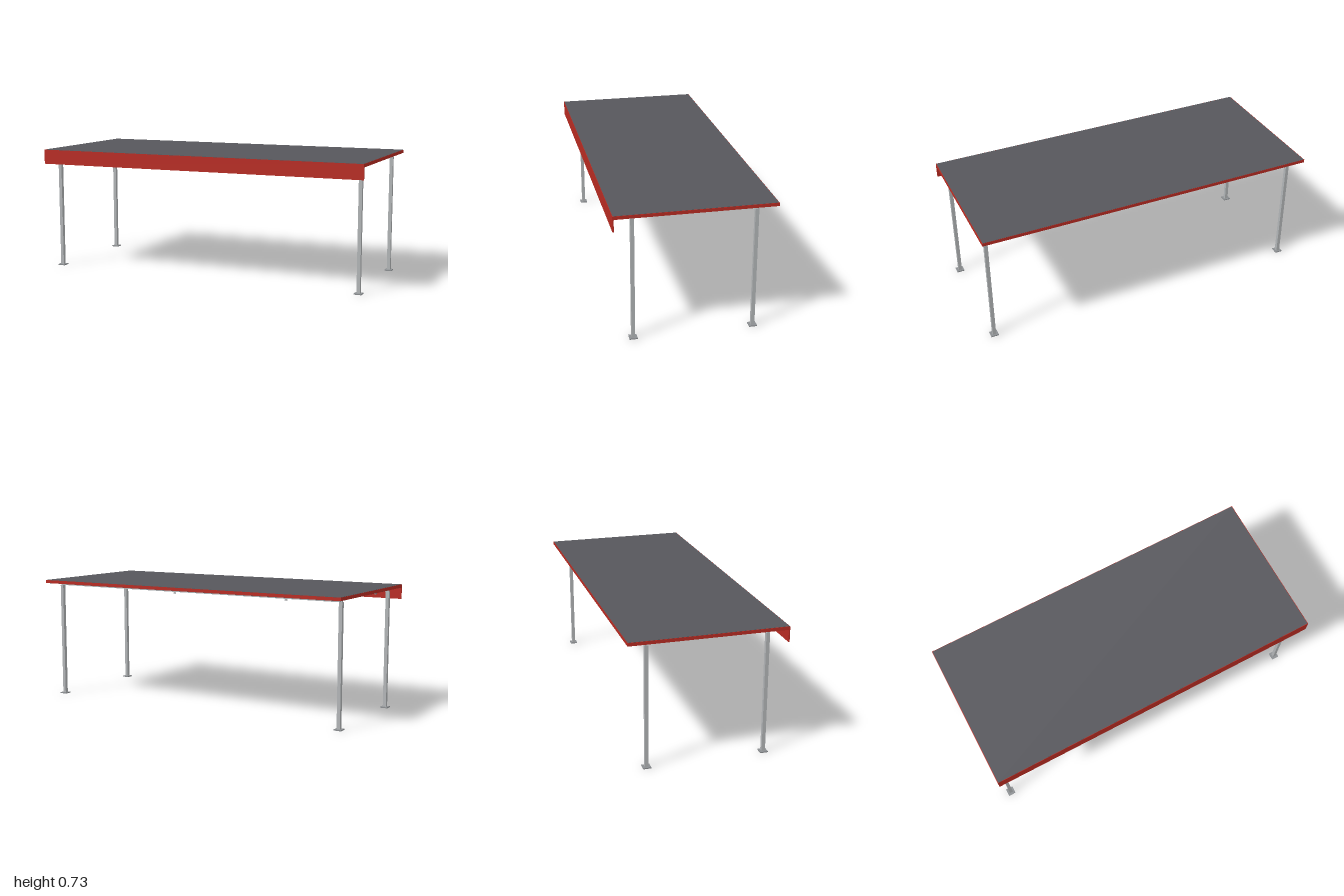
import * as THREE from 'three';

const mat = (name, color) => {
  const m = new THREE.MeshStandardMaterial({ color });
  m.name = name;
  return m;
};

export function createModel() {
  const red = mat('red trim', 0xb82b22);
  const roofGrey = mat('roof grey', 0x57575c);
  const soffitGrey = mat('soffit grey', 0x505054);
  const steel = mat('light steel', 0xb2b5b7);
  const fixtureGrey = mat('fixture grey', 0x8c8f92);
  const warm = mat('warm light', 0xffd090);

  const model = new THREE.Group();
  model.name = 'canopy';
  const add = (name, geometry, material, x, y, z) => {
    const mesh = new THREE.Mesh(geometry, material);
    mesh.name = name;
    mesh.position.set(x, y, z);
    model.add(mesh);
    return mesh;
  };
  // Box given by its centre in x and z and its bottom and top heights
  const box = (name, material, w, d, bottom, top, x, z) =>
    add(name, new THREE.BoxGeometry(w, top - bottom, d), material, x, (bottom + top) / 2, z);

  // Roof slab and front fascia as one profile with a rounded inner corner
  const back = -0.437, front = 0.437, under = 0.712, top = 0.73;
  const profile = new THREE.Shape();
  profile.moveTo(back, under);
  profile.lineTo(0.425, under);
  profile.quadraticCurveTo(0.43, under, 0.43, under - 0.005);
  profile.lineTo(0.43, 0.644);
  profile.lineTo(front, 0.644);
  profile.lineTo(front, top);
  profile.lineTo(back, top);
  profile.closePath();
  const slab = new THREE.ExtrudeGeometry(profile, { depth: 2, bevelEnabled: false, curveSegments: 4 });
  slab.rotateY(-Math.PI / 2);
  add('roofSlab', slab, red, 1, 0, 0);

  // Thin grey sheets above and below the slab
  box('roofSheet', roofGrey, 1.994, 0.87, 0.7295, 0.731, 0, 0);
  box('soffit', soffitGrey, 1.994, 0.859, 0.711, 0.7125, 0, -0.004);

  // Posts with foot plates, joined by a header beam along each side
  for (const z of [-0.33, 0.33]) {
    for (const x of [-0.955, 0.955]) {
      box('post', steel, 0.02, 0.02, 0.005, 0.694, x, z);
      box('footPlate', fixtureGrey, 0.044, 0.044, 0, 0.006, x, z);
    }
    box('headerBeam', steel, 1.925, 0.014, 0.694, 0.7115, 0, z);
  }

  // Strip light behind the front beam
  box('lightRail', fixtureGrey, 1.8, 0.026, 0.697, 0.709, 0, 0.29);
  box('lightTube', warm, 1.78, 0.013, 0.681, 0.698, 0, 0.29);
  for (const x of [-0.893, 0.893]) {
    box('lightEndCap', fixtureGrey, 0.014, 0.015, 0.679, 0.698, x, 0.29);
  }

  // Hanging rods with a ceiling disc and a small end disc
  for (const x of [-0.4, 0.4]) {
    const disc = (name, r, bottom, upper) =>
      add(name, new THREE.CylinderGeometry(r, r, upper - bottom, 16), fixtureGrey, x, (bottom + upper) / 2, 0.104);
    disc('hangerMount', 0.01, 0.708, 0.712);
    disc('hangerRod', 0.0025, 0.634, 0.71);
    disc('hangerFoot', 0.009, 0.631, 0.636);
  }

  return model;
}
